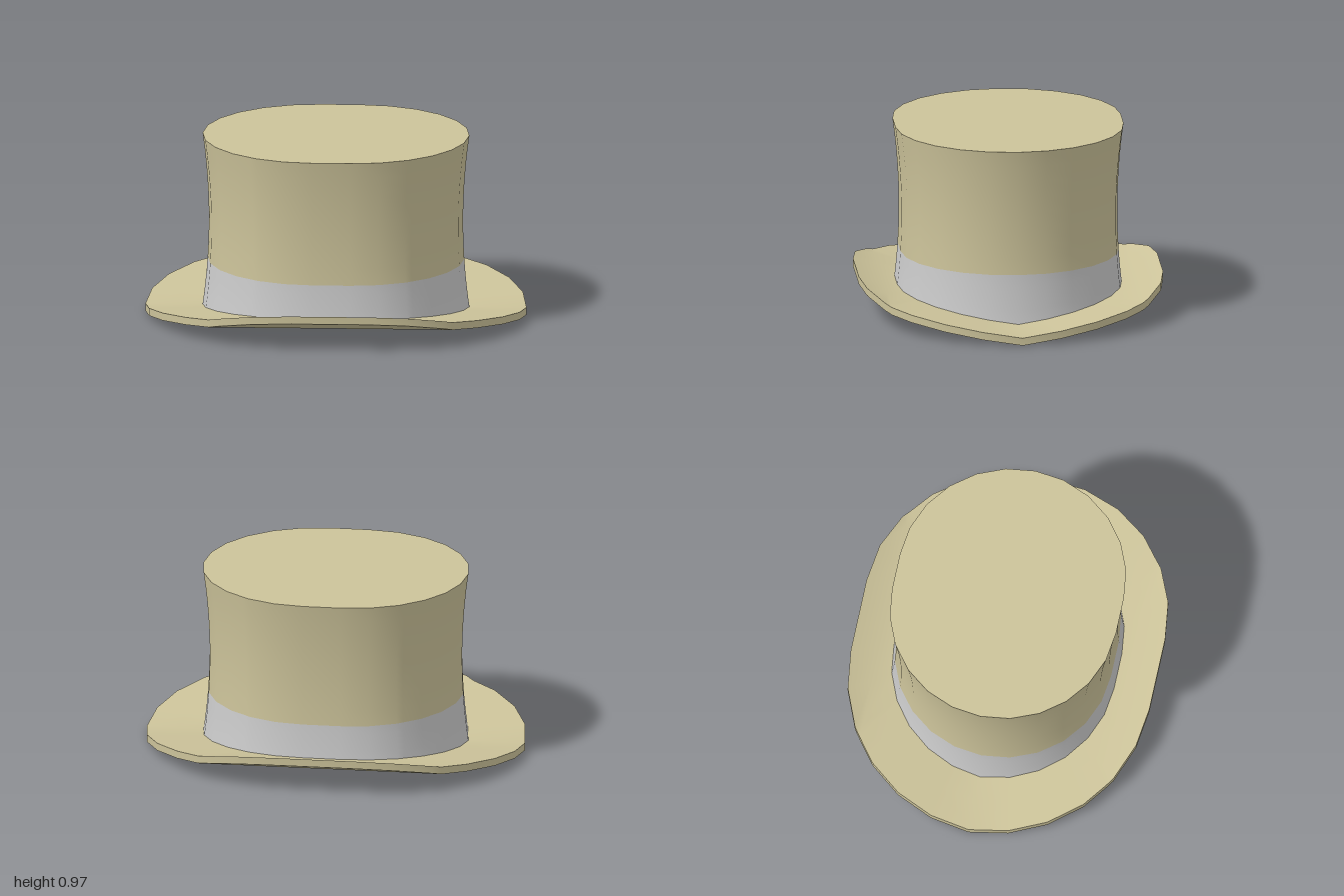
import * as THREE from 'three';
import { toCreasedNormals } from 'three/addons/utils/BufferGeometryUtils.js';

const FOLD = 0.66;       // z where the brim turns up more steeply
const BRIM = 0.04;       // brim thickness
const BAND_TOP = 0.3;
const TOP = 0.97;
const WALL = 0.02;

// Height of the brim's underside
const brimY = (z) => {
  const a = Math.abs(z);
  return a < FOLD ? (a * 0.09) / FOLD : 0.09 + ((a - FOLD) * 0.06) / 0.14;
};
// Waisted crown radius
const crownR = (y) => 0.567 + 0.033 * ((y - 0.505) / 0.465) ** 2;

// Unit 24-gon quadrant, with one extra point where the brim edge crosses the fold
const quadrant = [];
for (let k = 0; k <= 6; k++) {
  const a = (k * Math.PI) / 12;
  quadrant.push([Math.cos(a), Math.sin(a)]);
}
const [p45, p60] = [quadrant[3], quadrant[4]];
const t = (FOLD / 0.8 - p45[1]) / (p60[1] - p45[1]);
quadrant.splice(4, 0, [p45[0] + (p60[0] - p45[0]) * t, FOLD / 0.8]);

// Whole outline: mirrored quadrants; s is the sign of the sideways stretch
const outline = [];
const back = [...quadrant].reverse();
quadrant.forEach(([x, z]) => outline.push({ x, z, s: 1 }));
back.forEach(([x, z]) => outline.push({ x: -x, z, s: -1 }));
quadrant.slice(1).forEach(([x, z]) => outline.push({ x: -x, z: -z, s: -1 }));
back.slice(0, -1).forEach(([x, z]) => outline.push({ x, z: -z, s: 1 }));

// Loop of points; radius and height may depend on the point's z
const ring = (r, shift, yOf) =>
  outline.map((p) => new THREE.Vector3(p.x * r + p.s * shift, yOf(p.z * r), p.z * r));

// Skin between successive loops, leaving out collapsed triangles
function loft(rings, crease = 0.6) {
  const pos = [];
  const tri = (a, b, c) => {
    const n = b.clone().sub(a).cross(c.clone().sub(a));
    if (n.length() > 1e-7) pos.push(...a.toArray(), ...b.toArray(), ...c.toArray());
  };
  for (let i = 0; i < rings.length - 1; i++) {
    const [lo, hi] = [rings[i], rings[i + 1]];
    for (let j = 0; j < lo.length; j++) {
      const k = (j + 1) % lo.length;
      tri(lo[j], hi[j], hi[k]);
      tri(lo[j], hi[k], lo[k]);
    }
  }
  const g = new THREE.BufferGeometry();
  g.setAttribute('position', new THREE.Float32BufferAttribute(pos, 3));
  return toCreasedNormals(g, crease);
}

function mesh(name, geometry, color) {
  const m = new THREE.Mesh(geometry, new THREE.MeshStandardMaterial({ color }));
  m.name = name;
  return m;
}

export function createModel() {
  const group = new THREE.Group();
  group.name = 'topHat';
  const tan = 0xccc39a;
  const under = brimY;
  const over = (z) => brimY(z) + BRIM;

  // Brim: underside, rim and upper side, creased along the fold
  const hole = (y) => ring(0.565, 0.1, y);
  const edge = (y) => ring(0.8, 0.2, y);
  const middle = (y) => {
    const outer = edge(y);
    return hole(y).map((p, i) => {
      const [a, b] = [Math.abs(p.z), Math.abs(outer[i].z)];
      const m = p.clone().lerp(outer[i], b > FOLD - 1e-4 ? (FOLD - a) / (b - a) : 0.5);
      m.y = y(m.z);
      return m;
    });
  };
  const brimRings = [hole(under), middle(under), edge(under), edge(over), middle(over), hole(over)];
  group.add(mesh('brim', loft(brimRings), tan));

  // Crown: outer wall, lid, ceiling and inner wall
  const wall = (y, inset) => ring(crownR(y) - inset, 0.1, () => y);
  const centre = (y) => ring(0, 0, () => y);
  const steps = 8;
  const outside = [];
  const inside = [];
  for (let i = 0; i <= steps; i++) {
    const f = i / steps;
    outside.push(wall(BAND_TOP + (TOP - BAND_TOP) * f, 0));
    inside.unshift(wall(BAND_TOP + (TOP - WALL - BAND_TOP) * f, WALL));
  }
  const crownRings = [...outside, centre(TOP), centre(TOP - WALL), ...inside];
  group.add(mesh('crown', loft(crownRings), tan));

  // Band: lower wall whose foot follows the brim, and the lining of the opening
  const bandRing = (f, inset) =>
    outline.map((p) => {
      const foot = over(p.z * 0.59) - 0.003;
      const y = foot + (BAND_TOP - foot) * f;
      const r = crownR(y) - inset;
      return new THREE.Vector3(p.x * r + p.s * 0.1, y, p.z * r);
    });
  const bandOut = [0, 0.25, 0.5, 0.75, 1].map((f) => bandRing(f, 0));
  const bandIn = [1, 0.75, 0.5, 0.25, 0].map((f) => bandRing(f, WALL));
  group.add(mesh('band', loft([...bandOut, ...bandIn, hole(over), hole(under)]), 0xcccccc));

  return group;
}
